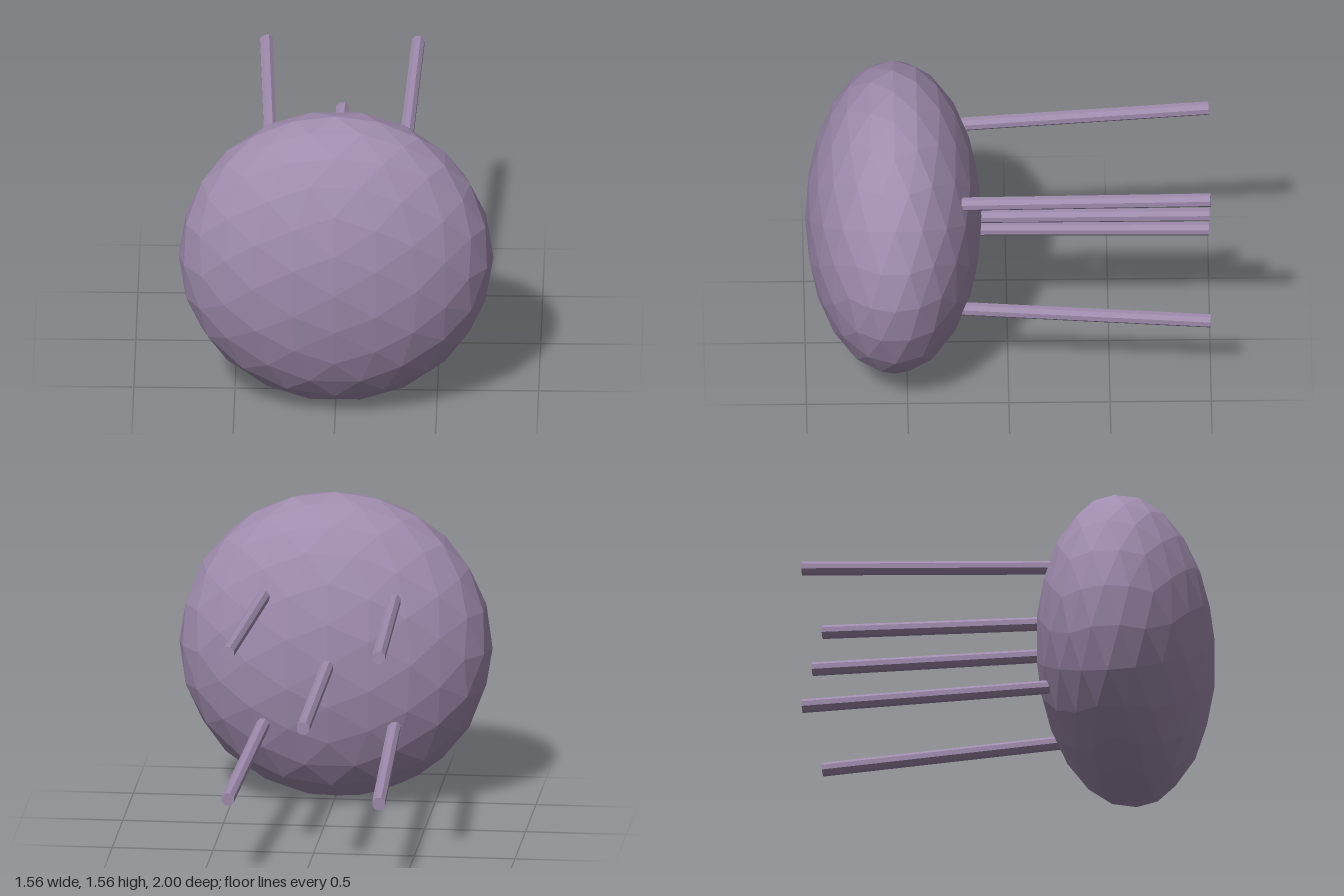
import * as THREE from 'three';

const CENTER = new THREE.Vector3(0, 0.781, 0.5635);

// Unit icosphere: every triangle is split at its edge midpoints, pushed out to the sphere
function icosphere(levels) {
  const base = new THREE.IcosahedronGeometry(1, 0).getAttribute('position');
  const points = [];
  const mid = (a, b) => a.clone().add(b).normalize();
  const split = (a, b, c, n) => {
    if (n === 0) { points.push(a, b, c); return; }
    const ab = mid(a, b), bc = mid(b, c), ca = mid(c, a);
    split(a, ab, ca, n - 1);
    split(ab, b, bc, n - 1);
    split(ca, bc, c, n - 1);
    split(ab, bc, ca, n - 1);
  };
  const corner = (i) => new THREE.Vector3().fromBufferAttribute(base, i);
  for (let i = 0; i < base.count; i += 3) split(corner(i), corner(i + 1), corner(i + 2), levels);
  return new THREE.BufferGeometry().setFromPoints(points);
}

// Eight-sided rod between two points, flat side up
function rod(name, from, to, material) {
  const geometry = new THREE.CylinderGeometry(0.034, 0.034, from.distanceTo(to), 8);
  geometry.rotateY(Math.PI / 8);
  geometry.rotateX(-Math.PI / 2);
  const mesh = new THREE.Mesh(geometry, material);
  mesh.name = name;
  mesh.position.copy(from).add(to).multiplyScalar(0.5);
  mesh.lookAt(to);
  return mesh;
}

export function createModel() {
  const group = new THREE.Group();
  const mauve = new THREE.MeshStandardMaterial({ color: 0xa08cae, flatShading: true });
  mauve.name = 'dusty mauve';

  // Flattened faceted body
  const shell = icosphere(2);
  shell.scale(0.778, 0.778, 0.4365);
  shell.computeVertexNormals();
  const body = new THREE.Mesh(shell, mauve);
  body.name = 'body';
  body.position.copy(CENTER);
  group.add(body);

  // One straight rod at the middle and four that splay outwards towards the back
  const spots = [
    ['centerRod', 0, 0],
    ['upperLeftRod', 1, 1],
    ['upperRightRod', -1, 1],
    ['lowerLeftRod', 1, -1],
    ['lowerRightRod', -1, -1],
  ];
  for (const [name, sx, sy] of spots) {
    const at = (offset, z) => new THREE.Vector3(sx * offset, CENTER.y + sy * offset, z);
    group.add(rod(name, at(0.318, 0.4), at(0.375, -0.998), mauve));
  }
  return group;
}
